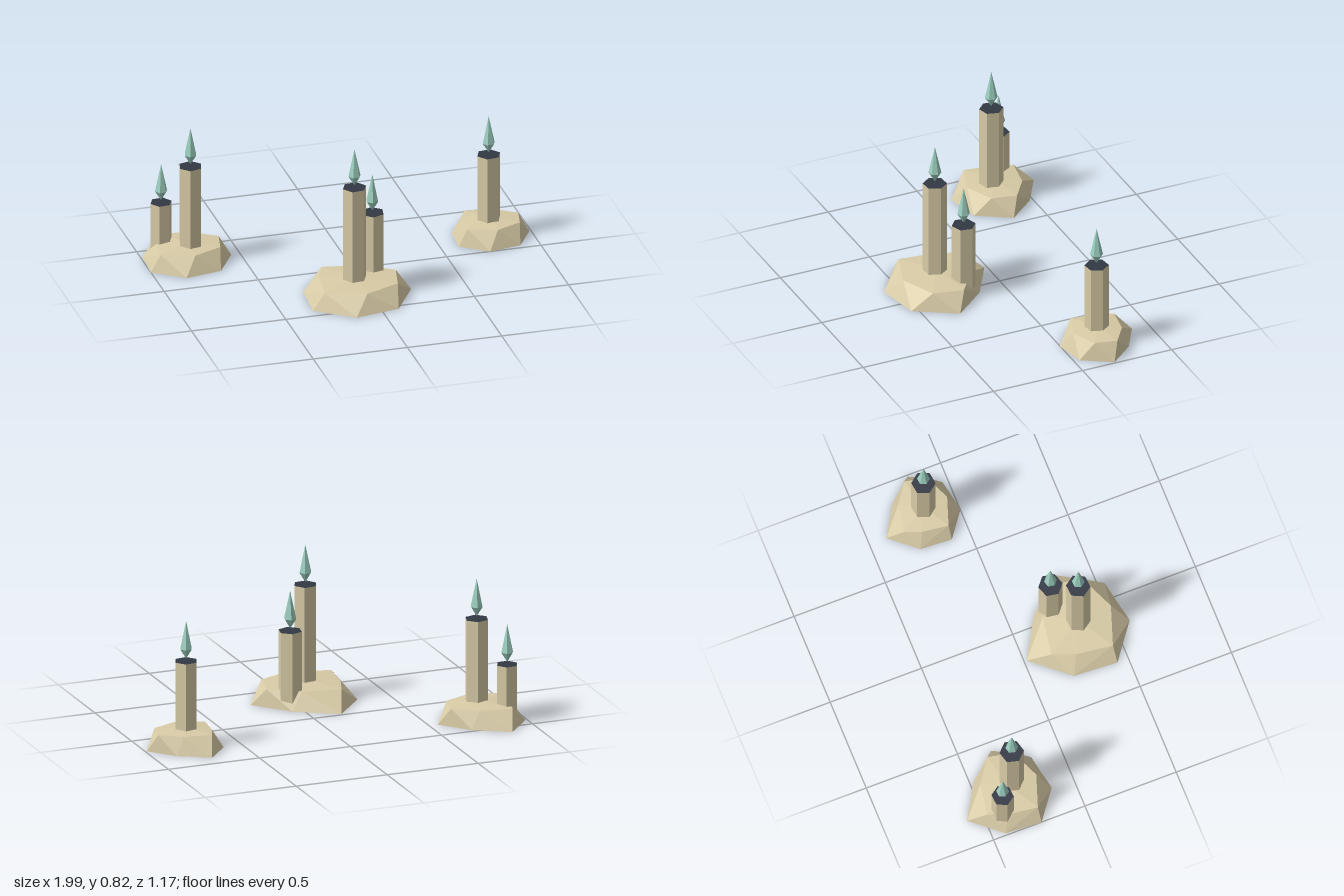
import * as THREE from 'three';
import { ConvexGeometry } from 'three/addons/geometries/ConvexGeometry.js';

const mat = (name, color) => {
  const m = new THREE.MeshStandardMaterial({ color });
  m.name = name;
  return m;
};

// Faceted normals for low-poly parts
const faceted = (geo) => {
  const g = geo.toNonIndexed();
  g.computeVertexNormals();
  return g;
};

// Mound cross-sections as [x, z] offsets from its middle
const FOOT = [[-0.078, -0.307], [0.14, -0.18], [0.297, 0.003], [0.168, 0.217], [-0.067, 0.262], [-0.258, 0.12], [-0.243, -0.114]];
const SHOULDER = [[-0.125, -0.19], [0.08, -0.155], [0.23, -0.05], [0.195, 0.11], [0.01, 0.19], [-0.195, 0.12], [-0.17, -0.07]];

function makeMound(x, z, scale, material) {
  const points = [new THREE.Vector3(0, 0.107, 0)];
  for (const [px, pz] of FOOT) points.push(new THREE.Vector3(px * scale, 0, pz * scale));
  for (const [px, pz] of SHOULDER) points.push(new THREE.Vector3(px * scale, 0.092, pz * scale));
  const mound = new THREE.Mesh(new ConvexGeometry(points), material);
  mound.name = 'mound';
  mound.position.set(x, 0, z);
  return mound;
}

function makeCandle(x, z, top, radius, turn, mats) {
  const candle = new THREE.Group();
  candle.name = 'candle';
  candle.position.set(x, 0, z);

  // Six-sided pillar with a dark top face
  const bottom = 0.025;
  const pillarGeo = faceted(new THREE.CylinderGeometry(radius, radius, top - bottom, 6));
  const pillar = new THREE.Mesh(pillarGeo, [mats.stone, mats.dark, mats.stone]);
  pillar.name = 'pillar';
  pillar.position.y = (top + bottom) / 2;
  pillar.rotation.y = THREE.MathUtils.degToRad(turn);

  // Pointed crystal flame floating just above the pillar
  const profile = [[0, 0], [0.033, 0.053], [0, 0.202]].map(([r, y]) => new THREE.Vector2(r, y));
  const flame = new THREE.Mesh(faceted(new THREE.LatheGeometry(profile, 6)), mats.flame);
  flame.name = 'flame';
  flame.position.y = top + 0.012;
  flame.rotation.y = THREE.MathUtils.degToRad(turn);

  candle.add(pillar, flame);
  return candle;
}

export function createModel() {
  const mats = {
    stone: mat('sandstone', 0xd8cba6),
    dark: mat('dark slate', 0x323944),
    flame: mat('pale teal', 0x9dd0c0),
  };

  // Each cluster: mound x, z, scale; candles x, z, top, radius, turn
  const clusters = [
    { name: 'middleCluster', mound: [-0.08, 0.32, 1], candles: [[-0.085, 0.325, 0.61, 0.0625, 35], [0.04, 0.222, 0.408, 0.063, 50]] },
    { name: 'rightCluster', mound: [-0.79, -0.336, 0.82], candles: [[-0.77, -0.31, 0.535, 0.0625, 45], [-0.897, -0.41, 0.305, 0.057, 35]] },
    { name: 'leftCluster', mound: [0.778, -0.186, 0.72], candles: [[0.775, -0.183, 0.458, 0.0625, 38]] },
  ];

  const model = new THREE.Group();
  model.name = 'candleClusters';
  for (const { name, mound, candles } of clusters) {
    const cluster = new THREE.Group();
    cluster.name = name;
    cluster.add(makeMound(...mound, mats.stone));
    for (const c of candles) cluster.add(makeCandle(...c, mats));
    model.add(cluster);
  }
  return model;
}
